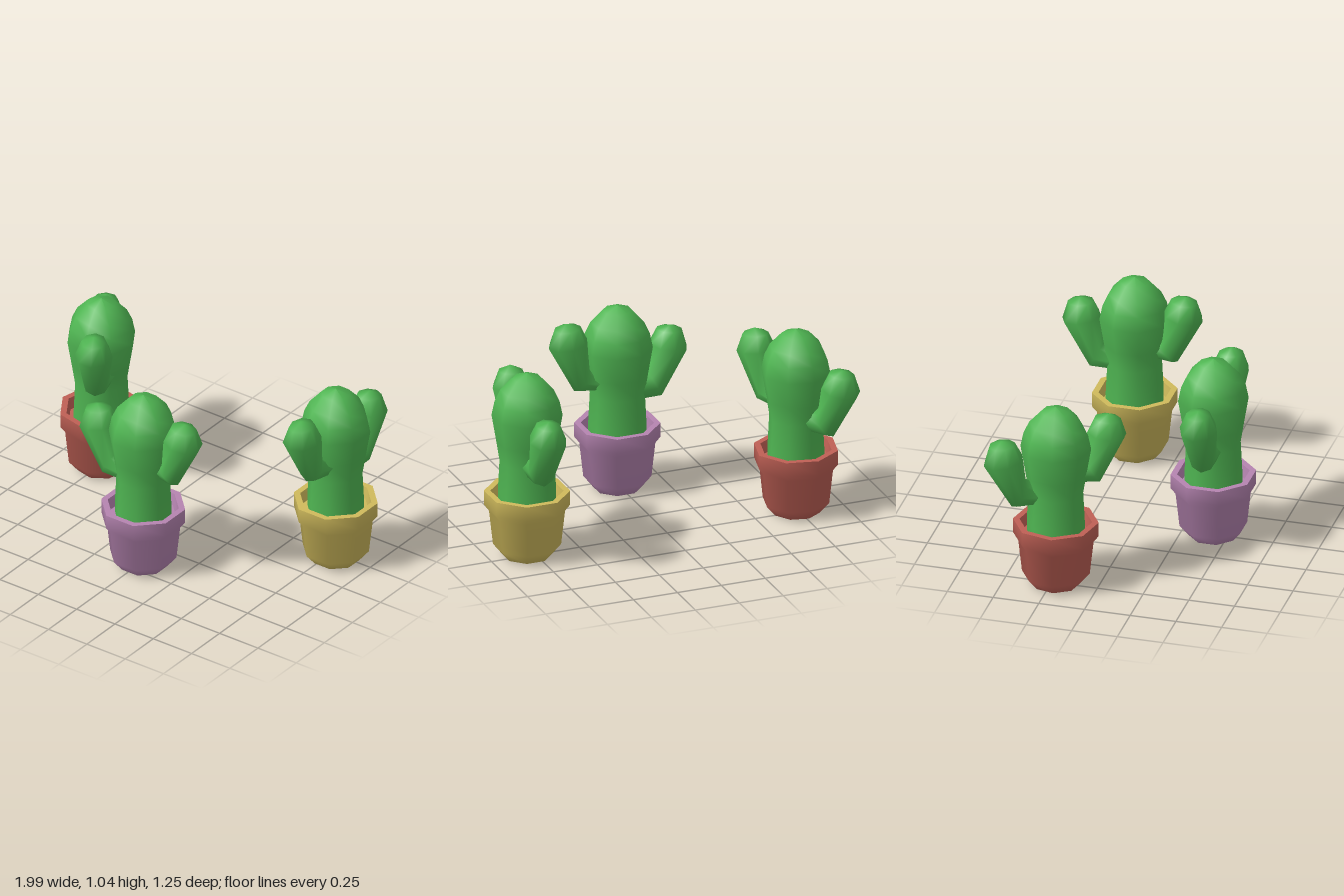
import * as THREE from 'three';
import { mergeVertices, toCreasedNormals } from 'three/addons/utils/BufferGeometryUtils.js';

const SIDES = 8;
const material = (color) => new THREE.MeshStandardMaterial({ color });

// Eight-sided lathe whose flats lie at the given radii
function octagonLathe(profile) {
  const k = 1 / Math.cos(Math.PI / SIDES);
  const points = profile.map(([r, y]) => new THREE.Vector2(r * k, y));
  return new THREE.LatheGeometry(points, SIDES, Math.PI / SIDES);
}

// Loft of rings, each [outer x, outer y, inner x, inner y, half width, centre z]
function loft(rings) {
  const positions = [], index = [];
  rings.forEach(([ox, oy, ix, iy, w, cz = 0], r) => {
    for (let i = 0; i < SIDES; i++) {
      const a = (i / SIDES) * Math.PI * 2, c = Math.cos(a) / 2;
      positions.push((ox + ix) / 2 + (ox - ix) * c, (oy + iy) / 2 + (oy - iy) * c, cz + w * Math.sin(a));
      if (r === rings.length - 1) continue;
      const p = r * SIDES + i, q = r * SIDES + ((i + 1) % SIDES);
      index.push(p, p + SIDES, q, q, p + SIDES, q + SIDES);
    }
  });
  const geometry = new THREE.BufferGeometry();
  geometry.setAttribute('position', new THREE.Float32BufferAttribute(positions, 3));
  geometry.setIndex(index);
  const merged = mergeVertices(geometry);
  merged.computeVertexNormals();
  return merged;
}

export function createModel() {
  const model = new THREE.Group();
  model.name = 'pottedCacti';

  // Pot: chamfered foot, tapered wall, thick rim and sunken floor
  const potGeometry = toCreasedNormals(octagonLathe([
    [0, 0], [0.12, 0], [0.166, 0.06], [0.185, 0.25], [0.21, 0.285],
    [0.21, 0.365], [0.178, 0.365], [0.168, 0.3], [0, 0.3],
  ]), 1);

  // Trunk: slight waist, swollen upper part, domed top
  const trunkGeometry = octagonLathe([
    [0.142, 0.28], [0.142, 0.365], [0.134, 0.54], [0.15, 0.65], [0.173, 0.8],
    [0.158, 0.88], [0.13, 0.945], [0.072, 1.012], [0, 1.04],
  ]);

  // Arms: stub, mitred elbow, bulge, dome and tip
  const highArmGeometry = loft([
    [0.08, 0.58, 0.08, 0.7, 0.075, -0.025],
    [0.24, 0.58, 0.155, 0.7, 0.07],
    [0.38, 0.84, 0.168, 0.87, 0.1],
    [0.35, 0.935, 0.205, 0.948, 0.065],
    [0.285, 0.97, 0.285, 0.97, 0],
  ]);
  const lowArmGeometry = loft([
    [0.08, 0.485, 0.08, 0.62, 0.075],
    [0.243, 0.485, 0.165, 0.63, 0.073],
    [0.395, 0.745, 0.185, 0.785, 0.102],
    [0.365, 0.85, 0.225, 0.862, 0.065],
    [0.3, 0.878, 0.3, 0.878, 0],
  ]);

  const green = material(0x4fb552);
  const add = (parent, name, geometry, mat, turn = 0) => {
    const mesh = new THREE.Mesh(geometry, mat);
    mesh.name = name;
    mesh.rotation.y = THREE.MathUtils.degToRad(turn);
    parent.add(mesh);
  };

  // Three plants sharing the same parts, each with its own pot colour and turn
  const plants = [
    ['pinkPotPlant', 0xb584b0, 0.01, 0.42, 0],
    ['yellowPotPlant', 0xcfba5c, 0.79, -0.23, -90],
    ['redPotPlant', 0xbf6055, -0.74, -0.23, -58],
  ];
  for (const [name, color, x, z, turn] of plants) {
    const plant = new THREE.Group();
    plant.name = name;
    plant.position.set(x, 0, z);
    plant.rotation.y = THREE.MathUtils.degToRad(turn);
    add(plant, 'pot', potGeometry, material(color));
    add(plant, 'trunk', trunkGeometry, green);
    add(plant, 'highArm', highArmGeometry, green, -4);
    add(plant, 'lowArm', lowArmGeometry, green, 180);
    model.add(plant);
  }
  return model;
}
